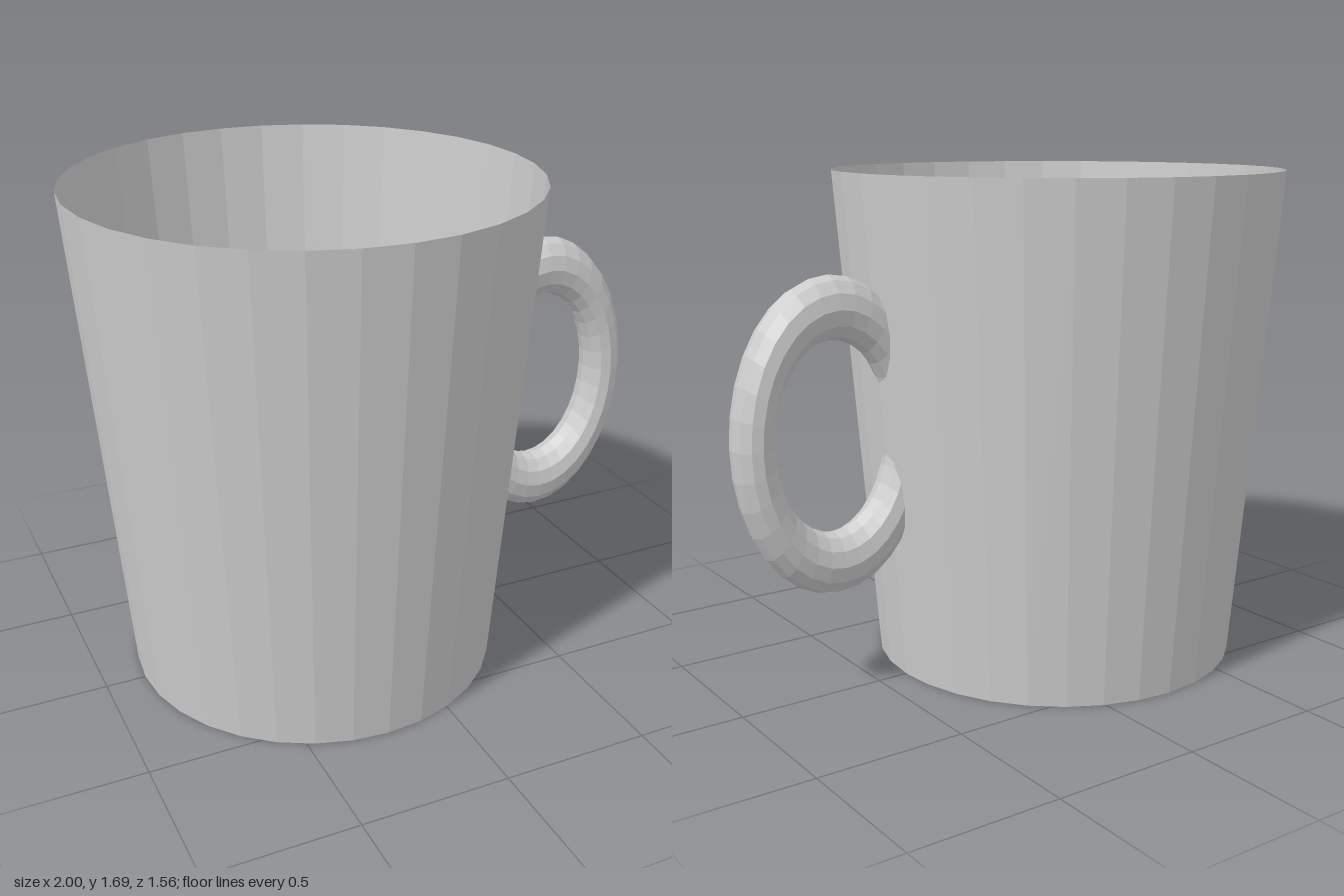
import * as THREE from 'three';

export function createModel() {
  const model = new THREE.Group();
  const material = new THREE.MeshStandardMaterial({
    color: 0xcccccc, flatShading: true, side: THREE.DoubleSide,
  });
  const add = (name, geometry, parent) => {
    const mesh = new THREE.Mesh(geometry, material);
    mesh.name = name;
    parent.add(mesh);
    return mesh;
  };

  // Thin-walled tapered cup, open at the top and slightly narrower in x
  const height = 1.69, topRadius = 0.778, baseRadius = 0.638, sides = 32;
  const cup = new THREE.Group();
  cup.name = 'cup';
  cup.position.x = -0.235;
  cup.scale.x = 0.985;
  model.add(cup);

  const wall = new THREE.CylinderGeometry(topRadius, baseRadius, height, sides, 1, true);
  add('wall', wall.translate(0, height / 2, 0), cup);

  const base = new THREE.CircleGeometry(baseRadius, sides);
  add('base', base.rotateX(Math.PI / 2), cup);

  // Oval ring handle that passes through the wall
  const handle = add('handle', new THREE.TorusGeometry(0.415, 0.103, 12, 32), model);
  handle.scale.set(0.663, 1, 0.78);
  handle.position.set(0.655, 0.867, 0);

  return model;
}
